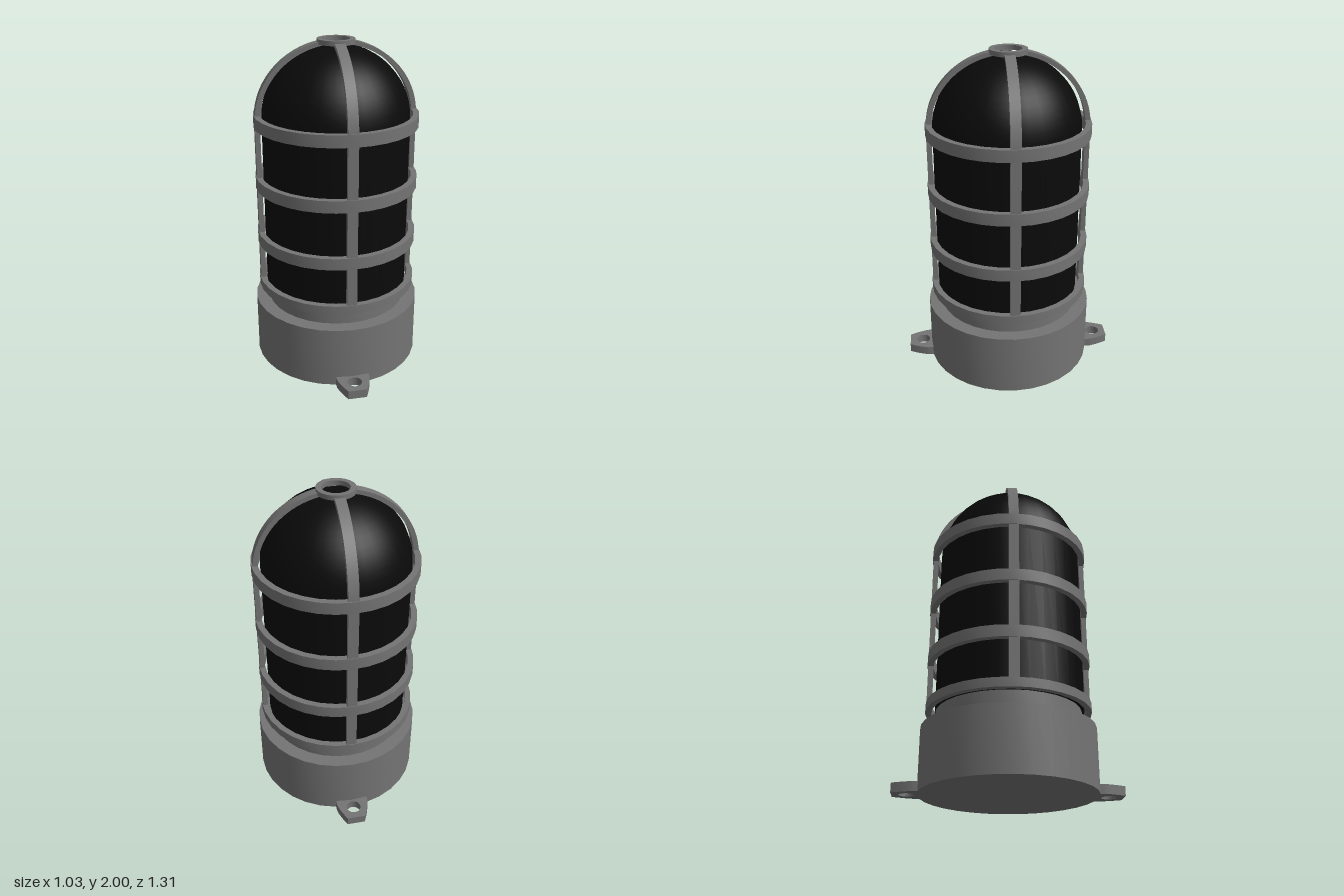
import * as THREE from 'three';
import { toCreasedNormals } from 'three/addons/utils/BufferGeometryUtils.js';

const metal = new THREE.MeshStandardMaterial({ color: 0x747474 });
const glass = new THREE.MeshStandardMaterial({ color: 0x0a0a0a });

function part(parent, name, geometry, material = metal) {
  const mesh = new THREE.Mesh(toCreasedNormals(geometry, 0.6), material);
  mesh.name = name;
  parent.add(mesh);
  return mesh;
}

// Revolve a list of [radius, height] pairs, bottom to top on the outside
function revolve(points, segments = 32) {
  return new THREE.LatheGeometry(points.map(([r, y]) => new THREE.Vector2(r, y)), segments);
}

function ring(inner, outer, bottom, top) {
  return revolve([[inner, bottom], [outer, bottom], [outer, top], [inner, top], [inner, bottom]]);
}

export function createModel() {
  const group = new THREE.Group();

  // Base drum and neck
  part(group, 'base', revolve([
    [0, 0], [0.515, 0], [0.515, 0.38], [0.432, 0.38], [0.432, 0.49], [0, 0.49],
  ]));

  // Domed globe
  const domeY = 1.535;
  const profile = [[0, 0.48], [0.441, 0.48]];
  const steps = 14;
  for (let i = 0; i <= steps; i++) {
    const a = (i / steps) * Math.PI / 2;
    profile.push([i === steps ? 0 : 0.441 * Math.cos(a), domeY + 0.435 * Math.sin(a)]);
  }
  const globe = part(group, 'globe', revolve(profile), glass);
  globe.position.set(-0.003, 0, 0.007);

  // Guard cage: hoops, crown ring and four bent bars
  const cage = new THREE.Group();
  cage.name = 'guardCage';
  group.add(cage);
  for (const [bottom, top] of [[0.475, 0.53], [0.768, 0.84], [1.122, 1.195], [1.5, 1.572]]) {
    part(cage, 'hoop', ring(0.455, 0.491, bottom, top));
  }
  part(cage, 'crownRing', ring(0.08, 0.112, 1.972, 2));

  const endAngle = 1.38;
  const bar = new THREE.Shape();
  bar.moveTo(0.455, 0.48);
  bar.lineTo(0.485, 0.48);
  bar.lineTo(0.485, domeY);
  bar.absellipse(0, domeY, 0.485, 0.462, 0, endAngle, false);
  bar.lineTo(0.455 * Math.cos(endAngle), domeY + 0.437 * Math.sin(endAngle));
  bar.absellipse(0, domeY, 0.455, 0.437, endAngle, 0, true);
  bar.closePath();
  const barGeometry = new THREE.ExtrudeGeometry(bar, { depth: 0.06, bevelEnabled: false, curveSegments: 14 });
  barGeometry.translate(0, 0, -0.03);
  for (let i = 0; i < 4; i++) {
    part(cage, 'guardBar', barGeometry).rotation.y = i * Math.PI / 2;
  }

  // Mounting ears with bolt holes, front and back
  const ear = new THREE.Shape();
  ear.moveTo(-0.1, 0.48);
  ear.lineTo(0.1, 0.48);
  ear.lineTo(0.1, 0.535);
  ear.quadraticCurveTo(0.09, 0.59, 0.055, 0.657);
  ear.lineTo(-0.055, 0.657);
  ear.quadraticCurveTo(-0.09, 0.59, -0.1, 0.535);
  ear.closePath();
  const hole = new THREE.Path();
  hole.absarc(0, 0.572, 0.044, 0, Math.PI * 2, true);
  ear.holes.push(hole);
  const earGeometry = new THREE.ExtrudeGeometry(ear, { depth: 0.055, bevelEnabled: false, curveSegments: 12 });
  earGeometry.rotateX(Math.PI / 2).translate(0, 0.055, 0);
  for (const turn of [0, Math.PI]) {
    part(group, 'mountingEar', earGeometry).rotation.y = turn;
  }

  return group;
}
